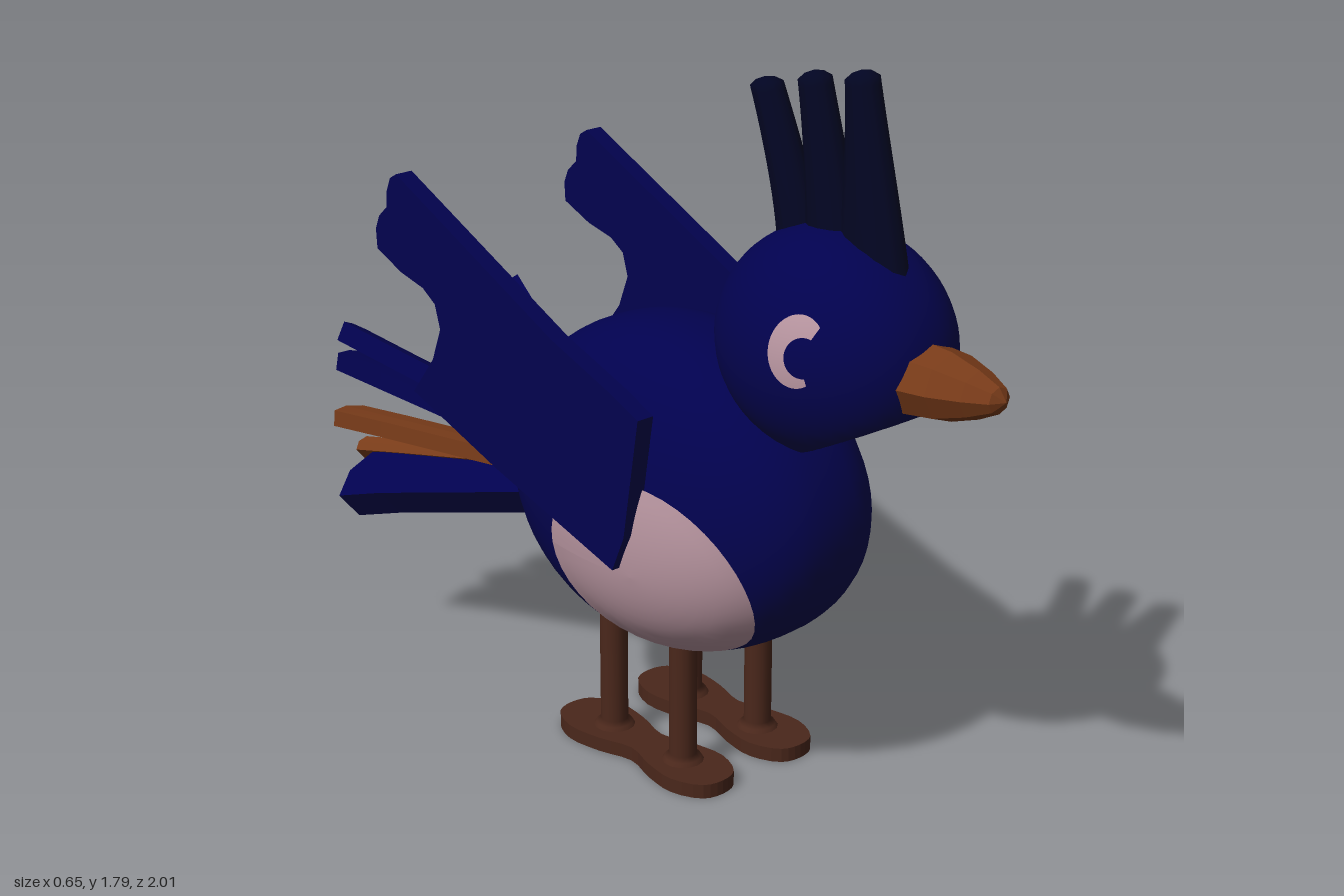
import * as THREE from 'three';
import { mergeVertices } from 'three/addons/utils/BufferGeometryUtils.js';

const paint = (name, color, side = THREE.FrontSide) => {
  const m = new THREE.MeshStandardMaterial({ color, side });
  m.name = name;
  return m;
};

// Rounded forms: half width at (y, z) is a * (1 - r^2)^e, narrowed towards the top by k;
// floor is the height of a flat underside, sloping up to the front
const BODY = { a: 0.305, y: 0.7, z: 0.035, ry: 0.4, rz: 0.505, k: 0.25, e: 0.4, floor: () => 0.3 };
const HEAD = { a: 0.236, y: 1.172, z: 0.51, ry: 0.263, rz: 0.29, k: 0.15, e: 0.46, floor: z => 0.912 + 0.52 * (z - 0.48) };
const narrow = (f, y) => f.a * (1 - f.k * (y - f.y));
const halfWidth = (f, y, z) => {
  const r2 = ((y - f.y) / f.ry) ** 2 + ((z - f.z) / f.rz) ** 2;
  return narrow(f, y) * Math.max(0, 1 - r2) ** f.e;
};

function roundForm(f) {
  let g = new THREE.SphereGeometry(1, 48, 32);
  g.deleteAttribute('uv');
  g.deleteAttribute('normal');
  g = mergeVertices(g);
  const p = g.attributes.position;
  for (let i = 0; i < p.count; i++) {
    const y = f.y + p.getY(i) * f.ry;
    const z = f.z + p.getZ(i) * f.rz;
    const x = p.getX(i);
    p.setXYZ(i, Math.sign(x) * Math.abs(x) ** (2 * f.e) * narrow(f, y), Math.max(y, f.floor(z)), z);
  }
  g.computeVertexNormals();
  return g;
}

// Thin patch lying on the +x side of a rounded form, between two curves of [z, y]
function patch(f, inner, outer, lift = 0.006, n = 40, m = 8) {
  const pos = [], idx = [];
  for (let i = 0; i <= n; i++) {
    const a = inner(i / n), b = outer(i / n);
    for (let j = 0; j <= m; j++) {
      const z = a[0] + (b[0] - a[0]) * j / m, y = a[1] + (b[1] - a[1]) * j / m;
      pos.push(halfWidth(f, y, z) + lift, y, z);
      if (i < n && j < m) {
        const q = i * (m + 1) + j;
        idx.push(q, q + m + 1, q + 1, q + 1, q + m + 1, q + m + 2);
      }
    }
  }
  const g = new THREE.BufferGeometry();
  g.setAttribute('position', new THREE.Float32BufferAttribute(pos, 3));
  g.setIndex(idx);
  g.computeVertexNormals();
  return g;
}

const arc = (z, y, rz, ry, from = 0, to = Math.PI * 2) => t => {
  const a = from + (to - from) * t;
  return [z - rz * Math.cos(a), y + ry * Math.sin(a)];
};

// Tapered plate running from base to tip, rolled about its length
function feather(base, tip, w0, w1, thick, roll) {
  const g = new THREE.BoxGeometry(1, 1, 1, 2, 1, 4);
  const p = g.attributes.position;
  const c = Math.cos(roll), s = Math.sin(roll);
  for (let i = 0; i < p.count; i++) {
    const t = 0.5 - p.getZ(i);
    const u = p.getX(i) * (w0 + (w1 - w0) * t);
    const v = p.getY(i) * thick * (p.getX(i) === 0 ? 1.1 : 1);
    const at = k => base[k] + (tip[k] - base[k]) * t;
    p.setXYZ(i, at(0) + u * c - v * s, at(1) + u * s + v * c, at(2) + (t === 1 ? Math.abs(u) * 0.3 : 0));
  }
  const flat = g.toNonIndexed();
  flat.computeVertexNormals();
  return flat;
}

function mirrored(geo) {
  const g = geo.index ? geo.clone() : mergeVertices(geo);
  g.scale(-1, 1, 1);
  const a = g.index.array;
  for (let i = 0; i < a.length; i += 3) [a[i], a[i + 1]] = [a[i + 1], a[i]];
  return g;
}

export function createModel() {
  const root = new THREE.Group();
  root.name = 'bird';
  const blue = paint('plumage blue', 0x02024e);
  const navy = paint('crest navy', 0x020522);
  const pink = paint('pale pink', 0xb996a1, THREE.DoubleSide);
  const orange = paint('beak orange', 0x783b19);
  const brown = paint('leg brown', 0x4a271b);

  const add = (name, geo, mat) => {
    const m = new THREE.Mesh(geo, mat);
    m.name = name;
    root.add(m);
    return m;
  };
  const pair = (name, geo, mat) => {
    add(name + 'Left', geo, mat);
    add(name + 'Right', mirrored(geo), mat);
  };

  add('body', roundForm(BODY), blue);
  add('head', roundForm(HEAD), blue);

  // Pale flank patches and crescent eyes
  pair('flankPatch', patch(BODY, () => [0.16, 0.57], arc(0.16, 0.57, 0.28, 0.225)), pink);
  pair('eyeCrescent', patch(HEAD, arc(0.622, 1.208, 0.042, 0.044, -1.8, 1.9),
    arc(0.603, 1.218, 0.066, 0.079, -2.1, 2.3), 0.007), pink);
  pair('pupil', patch(HEAD, () => [0.635, 1.207], arc(0.635, 1.207, 0.05, 0.046), 0.009), blue);

  // Faceted beak
  const beakGeo = new THREE.LatheGeometry(
    [[0, -0.06], [0.098, 0], [0.088, 0.09], [0.062, 0.165], [0.034, 0.22], [0, 0.24]]
      .map(p => new THREE.Vector2(...p)), 8).toNonIndexed();
  beakGeo.rotateX(Math.PI / 2).scale(1, 0.88, 1);
  beakGeo.computeVertexNormals();
  const beak = add('beak', beakGeo, orange);
  beak.position.set(0, 1.147, 0.76);
  beak.rotation.x = -0.04;

  // Three swept crest feathers, broad at the root: [base z, tip z, tip y, base depth]
  [[0.615, 0.568, 1.785, 0.095], [0.5, 0.428, 1.76, 0.075], [0.4, 0.28, 1.72, 0.06]].forEach(([z0, z1, top, d], i) => {
    const y0 = 1.36, g = new THREE.SphereGeometry(1, 12, 16);
    const p = g.attributes.position;
    for (let k = 0; k < p.count; k++) {
      const t = (p.getY(k) + 1) / 2;
      const ring = Math.hypot(p.getX(k), p.getZ(k)) || 1;
      const cap = t > 0.97 ? Math.sqrt((1 - t) / 0.03) : 1;
      const z = p.getZ(k) / ring * cap * (0.04 + (d - 0.04) * (1 - t) ** 1.3);
      p.setXYZ(k, p.getX(k) / ring * cap * (0.05 - 0.016 * t), y0 + (top - y0) * t + z * t * 0.25, z0 + (z1 - z0) * t ** 1.3 + z);
    }
    g.computeVertexNormals();
    add('crestFeather' + (i + 1), g, navy);
  });

  // Raised wings, outline in [z, y]
  const wing = new THREE.Shape([[0.22, 0.98], [0.13, 1.02], [-0.07, 1.095], [-0.64, 1.37], [-0.665, 1.355],
    [-0.68, 1.32], [-0.682, 1.28], [-0.715, 1.25], [-0.73, 1.215], [-0.727, 1.165], [-0.635, 1.125], [-0.55, 1.105],
    [-0.505, 1.075], [-0.487, 1.015], [-0.52, 0.93], [-0.6, 0.827], [-0.285, 0.715], [0.13, 0.587],
    [0.17, 0.68]].map(p => new THREE.Vector2(...p)));
  const wingGeo = new THREE.ExtrudeGeometry(wing, { depth: 0.047, bevelEnabled: false });
  wingGeo.rotateY(-Math.PI / 2).translate(0.326, 0, 0);
  pair('wing', wingGeo, blue);

  // Tail fan: two blue feathers above, an orange one between, a thick blue one below with an orange inner side
  pair('tailUpperInner', feather([0.075, 0.7, -0.4], [0.265, 0.872, -0.95], 0.1, 0.075, 0.05, 0.5), blue);
  pair('tailUpperOuter', feather([0.085, 0.68, -0.4], [0.25, 0.79, -0.98], 0.11, 0.09, 0.045, 0.2), blue);
  pair('tailMiddle', feather([0.07, 0.62, -0.4], [0.26, 0.638, -0.99], 0.09, 0.09, 0.042, 0.1), orange);
  pair('tailLower', feather([0.085, 0.565, -0.4], [0.235, 0.448, -0.97], 0.1, 0.145, 0.095, -0.69), blue);
  pair('tailLowerStripe', feather([0.05, 0.6, -0.4], [0.172, 0.5, -1.01], 0.04, 0.045, 0.1, -0.69), orange);

  // Two-lobed feet, each carrying two legs
  const half = [[0.05, 0.285], [0.085, 0.21], [0.075, 0.12], [0.05, 0.03], [0.075, -0.06], [0.085, -0.16], [0.05, -0.235]];
  const loop = [[0, 0.3], ...half, [0, -0.25], ...half.map(([x, z]) => [-x, z]).reverse()];
  const curve = new THREE.CatmullRomCurve3(loop.map(([x, z]) => new THREE.Vector3(x, z, 0)), true);
  const sole = new THREE.Shape(curve.getPoints(48).slice(0, -1).map(p => new THREE.Vector2(p.x, p.y)));
  const footGeo = new THREE.ExtrudeGeometry(sole, { depth: 0.036, bevelEnabled: false });
  footGeo.rotateX(Math.PI / 2).translate(0.131, 0.036, 0);
  pair('foot', footGeo, brown);
  const legProfile = [[0.055, 0.03], [0.045, 0.045], [0.034, 0.055], [0.034, 0.42]].map(p => new THREE.Vector2(...p));
  for (const [name, z] of [['frontLeg', 0.155], ['backLeg', -0.093]]) {
    pair(name, new THREE.LatheGeometry(legProfile, 14).translate(0.126, 0, z), brown);
  }
  return root;
}
